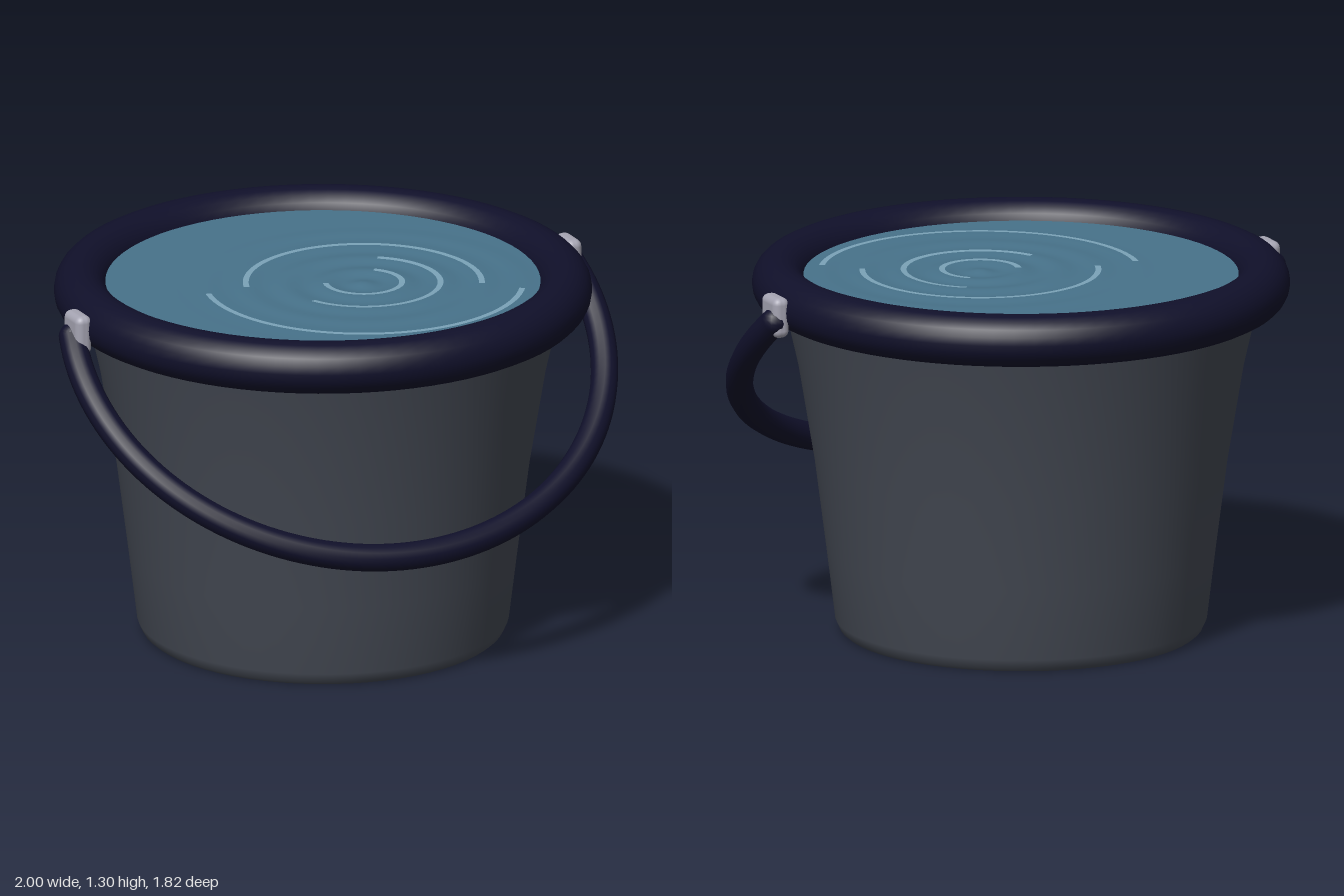
import * as THREE from 'three';
import { RoundedBoxGeometry } from 'three/addons/geometries/RoundedBoxGeometry.js';

const mat = (name, color, side = THREE.FrontSide) => {
  const m = new THREE.MeshStandardMaterial({ color });
  m.name = name;
  m.side = side;
  return m;
};

const WATER_Y = 1.24, CX = 0.11, CZ = 0.09;

// Height of the gentle ripples around an off-centre point
const ripple = (x, z) => {
  const r = Math.hypot(x - CX, z - CZ);
  return 0.005 * Math.cos((r / 0.135) * Math.PI * 2) * Math.max(0, 1 - r / 0.7);
};

// Lays a flat ring on the water and lets it follow the ripples
function onWater(geo, x, z, lift) {
  geo.rotateX(-Math.PI / 2).translate(x, 0, z);
  const p = geo.attributes.position;
  for (let i = 0; i < p.count; i++) p.setY(i, WATER_Y + lift + ripple(p.getX(i), p.getZ(i)));
  geo.computeVertexNormals();
  return geo;
}

export function createModel() {
  const group = new THREE.Group();
  const grey = mat('bucket grey', 0x434852);
  const navy = mat('dark navy', 0x10102a);
  const metal = mat('pale metal', 0xa5a4b2);
  const blue = mat('water blue', 0x47728a);
  const foam = mat('ripple light blue', 0x7ba3b8);

  const add = (name, geo, material) => {
    const mesh = new THREE.Mesh(geo, material);
    mesh.name = name;
    group.add(mesh);
    return mesh;
  };

  // Tapered body with a small chamfer at the foot
  const profile = [[0.6, 0], [0.615, 0.012], [0.63, 0.045], [0.66, 0.29], [0.7, 0.6], [0.755, 0.93], [0.81, 1.17]];
  add('bucketBody', new THREE.LatheGeometry(profile.map(([r, y]) => new THREE.Vector2(r, y)), 64), grey);
  add('bucketBase', new THREE.CircleGeometry(0.6, 64).rotateX(Math.PI / 2), grey);

  // Thick rolled rim
  add('rim', new THREE.TorusGeometry(0.822, 0.09, 20, 80).rotateX(Math.PI / 2).translate(0, 1.21, 0), navy);

  // Water and its broken ripple lines: radius, start and end in degrees
  add('water', onWater(new THREE.RingGeometry(0.001, 0.745, 80, 40), 0, 0, 0), blue);
  const arcs = [[0.13, 162, 409], [0.26, 203, 414], [0.4, -27, 162], [0.54, 167, 328]];
  for (const [r, a, b] of arcs) {
    const rad = THREE.MathUtils.degToRad;
    const geo = new THREE.RingGeometry(r - 0.01, r + 0.01, 64, 1, rad(a), rad(b - a));
    add('rippleLine', onWater(geo, CX, CZ, 0.004), foam);
  }

  // Swung-down handle: elliptical arc in a plane tilted forward
  const pivot = new THREE.Vector3(0, 1.16, 0);
  const down = new THREE.Vector3(0, -0.665, 0.77).normalize();
  const points = [];
  for (let i = 0; i <= 40; i++) {
    const t = -0.2 + (i / 40) * (Math.PI + 0.4);
    const p = pivot.clone().addScaledVector(down, 0.15 + 0.865 * Math.sin(t));
    p.x = 0.953 * Math.cos(t);
    points.push(p);
  }
  add('handle', new THREE.TubeGeometry(new THREE.CatmullRomCurve3(points), 90, 0.047, 14), navy);

  // Clips that hold the handle ends
  for (const s of [1, -1]) {
    add(s > 0 ? 'leftClip' : 'rightClip', new RoundedBoxGeometry(0.06, 0.14, 0.12, 3, 0.025), metal)
      .position.set(s * 0.922, 1.192, 0);
    const end = points[s > 0 ? 0 : 40];
    add('handleEnd', new THREE.SphereGeometry(0.047, 14, 10), navy).position.copy(end);
  }
  return group;
}
